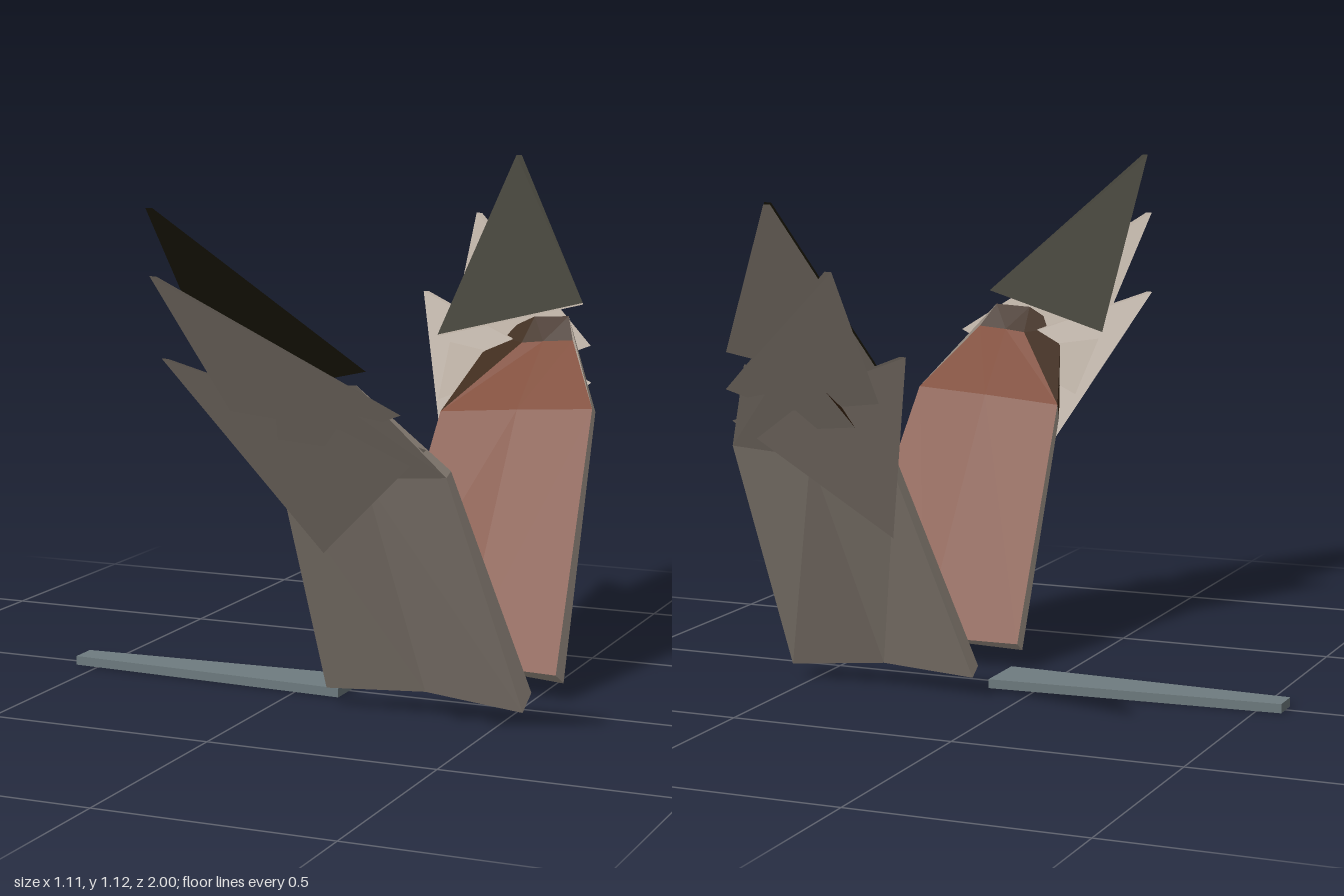
import * as THREE from 'three';

const mat = (name, color) => {
  const m = new THREE.MeshStandardMaterial({ color, flatShading: true, side: THREE.DoubleSide });
  m.name = name;
  return m;
};

export function createModel() {
  const taupe = mat('taupe', 0xab9f93);
  const rust = mat('rust', 0x7a3f24);
  const umber = mat('umber', 0x3a2410);
  const olive = mat('olive', 0x25220e);
  const slate = mat('slate', 0x6f7c80);

  // Mesh made of flat quads, each a list of four corners
  function quadMesh(name, material, quads, side = 1) {
    const pos = [];
    for (const q of quads) {
      const order = side > 0 ? [0, 1, 2, 0, 2, 3] : [0, 2, 1, 0, 3, 2];
      for (const i of order) pos.push(q[i][0], q[i][1], q[i][2] * side);
    }
    const g = new THREE.BufferGeometry();
    g.setAttribute('position', new THREE.Float32BufferAttribute(pos, 3));
    g.computeVertexNormals();
    const mesh = new THREE.Mesh(g, material);
    mesh.name = name;
    return mesh;
  }

  // Quads joining successive rows of points
  function skin(rows) {
    const quads = [];
    for (let r = 0; r + 1 < rows.length; r++)
      for (let c = 0; c + 1 < rows[r].length; c++)
        quads.push([rows[r][c], rows[r][c + 1], rows[r + 1][c + 1], rows[r + 1][c]]);
    return quads;
  }

  // Wing rows run from root to tip; each goes trailing, middle, leading
  const inner = [
    [[0.11, 0.06, 0.11], [0.33, 0.065, 0.085], [0.55, 0.06, 0.08]],
    [[0.145, 0.56, 0.44], [0.33, 0.575, 0.44], [0.505, 0.585, 0.45]],
    [[0.29, 0.71, 0.585], [0.34, 0.715, 0.59], [0.41, 0.72, 0.595]],
  ];
  const outer = [
    [[0.11, 0.04, 0.14], [0.33, 0.05, 0.125], [0.55, 0.03, 0.135]],
    [[0.145, 0.53, 0.45], [0.33, 0.56, 0.465], [0.505, 0.575, 0.475]],
    [[0.21, 0.72, 0.625], [0.3, 0.765, 0.645], [0.385, 0.77, 0.64]],
  ];

  // Feathers: blunt tip, lower corner, leading corner
  const feather = (tip, low, lead) => [[tip, low, lead, [tip[0] + 0.014, tip[1], tip[2]]]];
  const upper = feather([0.127, 1.12, 1.0], [0.085, 0.72, 0.575], [0.412, 0.8, 0.66]);
  const middle = feather([0.07, 0.985, 0.875], [0.12, 0.58, 0.49], [0.455, 0.71, 0.59]);
  const lower = feather([0.003, 0.808, 0.695], [0.195, 0.38, 0.355], [0.48, 0.635, 0.52]);

  function wing(name, side) {
    const g = new THREE.Group();
    g.name = name;
    const add = (n, m, q) => g.add(quadMesh(n, m, q, side));
    add('wingInnerFace', rust, skin(inner));
    add('wingOuterFace', taupe, skin(outer.map((r) => [...r].reverse())));
    // Dark end of the wing, from the inner face to the outer tip
    const rim = [inner[1][0], ...inner[2], inner[1][2]];
    const end = [outer[1][0], ...outer[2], outer[1][2]];
    add('wingEnd', umber, skin([rim.slice(0, 4), end.slice(0, 4)]));
    // Root and both long edges
    add('wingRoot', taupe, skin([outer[0], inner[0]]));
    for (const c of [0, 2])
      add(c ? 'leadingEdge' : 'trailingEdge', taupe,
        skin(inner.slice(0, c ? 3 : 2).map((r, i) => c ? [r[c], outer[i][c]] : [outer[i][c], r[c]])));
    add('upperFeather', olive, upper);
    add('middleFeather', taupe, middle);
    add('lowerFeather', taupe, lower);
    // Pale lining under one upper feather
    if (side < 0)
      add('upperFeatherLining', taupe, upper.map((q) => q.map(([x, y, z]) => [x, y - 0.004, z + 0.004])));
    return g;
  }

  const model = new THREE.Group();
  model.name = 'wingsAndTail';
  model.add(wing('leftWing', 1), wing('rightWing', -1));

  // Tapered flat tail
  const section = (x, w) => [[x, 0, w], [x, 0.02, w], [x, 0.02, -w], [x, 0, -w]];
  const a = section(-0.555, 0.032);
  const b = section(0.105, 0.065);
  const tail = new THREE.Group();
  tail.name = 'tail';
  tail.add(
    quadMesh('tailTopAndSides', slate, [...skin([b, a]), [...a].reverse(), b]),
    quadMesh('tailUnderside', taupe, [[a[0], a[3], b[3], b[0]]]),
  );
  model.add(tail);
  return model;
}
